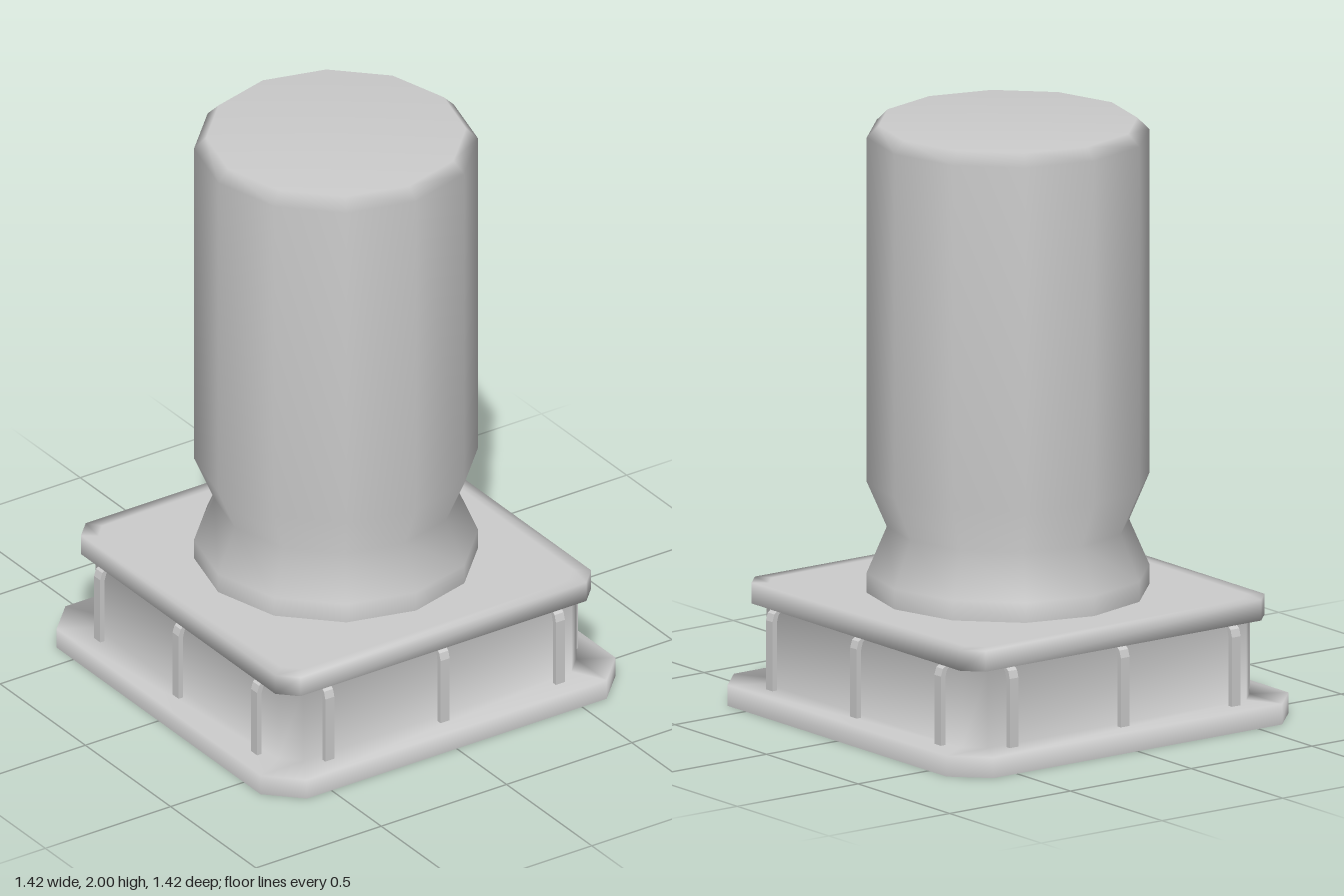
import * as THREE from 'three';

const grey = new THREE.MeshStandardMaterial({ color: 0xcccccc });
const greyShell = new THREE.MeshStandardMaterial({ color: 0xcccccc, side: THREE.DoubleSide });

// Stacks chamfered square rings [half width, chamfer, y] into one smooth open-bottomed skin
function chamferedShell(rings) {
  const pos = [], index = [];
  for (const [h, chamfer, y] of rings) {
    const c = h - chamfer;
    for (const [x, z] of [[h, c], [h, -c], [c, -h], [-c, -h], [-h, -c], [-h, c], [-c, h], [c, h]]) pos.push(x, y, z);
  }
  for (let r = 0; r < rings.length - 1; r++) {
    for (let i = 0; i < 8; i++) {
      const a = r * 8 + i, b = r * 8 + (i + 1) % 8;
      index.push(a, b, b + 8, a, b + 8, a + 8);
    }
  }
  // Close the top with a flat fan
  const top = (rings.length - 1) * 8;
  for (let i = 1; i < 7; i++) index.push(top, top + i, top + i + 1);
  const geo = new THREE.BufferGeometry();
  geo.setAttribute('position', new THREE.Float32BufferAttribute(pos, 3));
  geo.setIndex(index);
  geo.computeVertexNormals();
  return geo;
}

// Flat strip that rises from the flange and bends inward under the slab
function braceGeometry() {
  const width = 0.036;
  const s = new THREE.Shape();
  s.moveTo(0.622, 0.06);
  s.lineTo(0.64, 0.06);
  s.lineTo(0.64, 0.305);
  s.lineTo(0.632, 0.33);
  s.lineTo(0.612, 0.345);
  s.lineTo(0.594, 0.345);
  s.lineTo(0.615, 0.325);
  s.lineTo(0.622, 0.3);
  s.closePath();
  return new THREE.ExtrudeGeometry(s, { depth: width, bevelEnabled: false }).translate(0, 0, -width / 2);
}

export function createModel() {
  const model = new THREE.Group();
  model.name = 'pedestalTower';

  // Hollow base: skirt, flange, wall and overhanging slab
  const base = new THREE.Mesh(chamferedShell([
    [0.708, 0.11, 0],
    [0.708, 0.11, 0.07],
    [0.595, 0.06, 0.07],
    [0.595, 0.06, 0.342],
    [0.63, 0.06, 0.342],
    [0.63, 0.06, 0.412],
    [0.585, 0.05, 0.412],
  ]), greyShell);
  base.name = 'base';
  model.add(base);

  // Twelve-sided column with a pinched neck and a chamfered top
  const profile = [[0.47, 0.41], [0.47, 0.48], [0.403, 0.635], [0.47, 0.79], [0.47, 1.96], [0.43, 2], [0, 2]];
  const column = new THREE.Mesh(
    new THREE.LatheGeometry(profile.map(([r, y]) => new THREE.Vector2(r, y)), 12), grey);
  column.name = 'column';
  model.add(column);

  // Three braces on each of the four sides
  const braceGeo = braceGeometry();
  for (let side = 0; side < 4; side++) {
    const row = new THREE.Group();
    row.name = 'braceRow';
    row.rotation.y = side * Math.PI / 2;
    for (const offset of [-0.46, 0, 0.46]) {
      const brace = new THREE.Mesh(braceGeo, grey);
      brace.name = 'brace';
      brace.position.z = offset;
      row.add(brace);
    }
    model.add(row);
  }
  return model;
}
